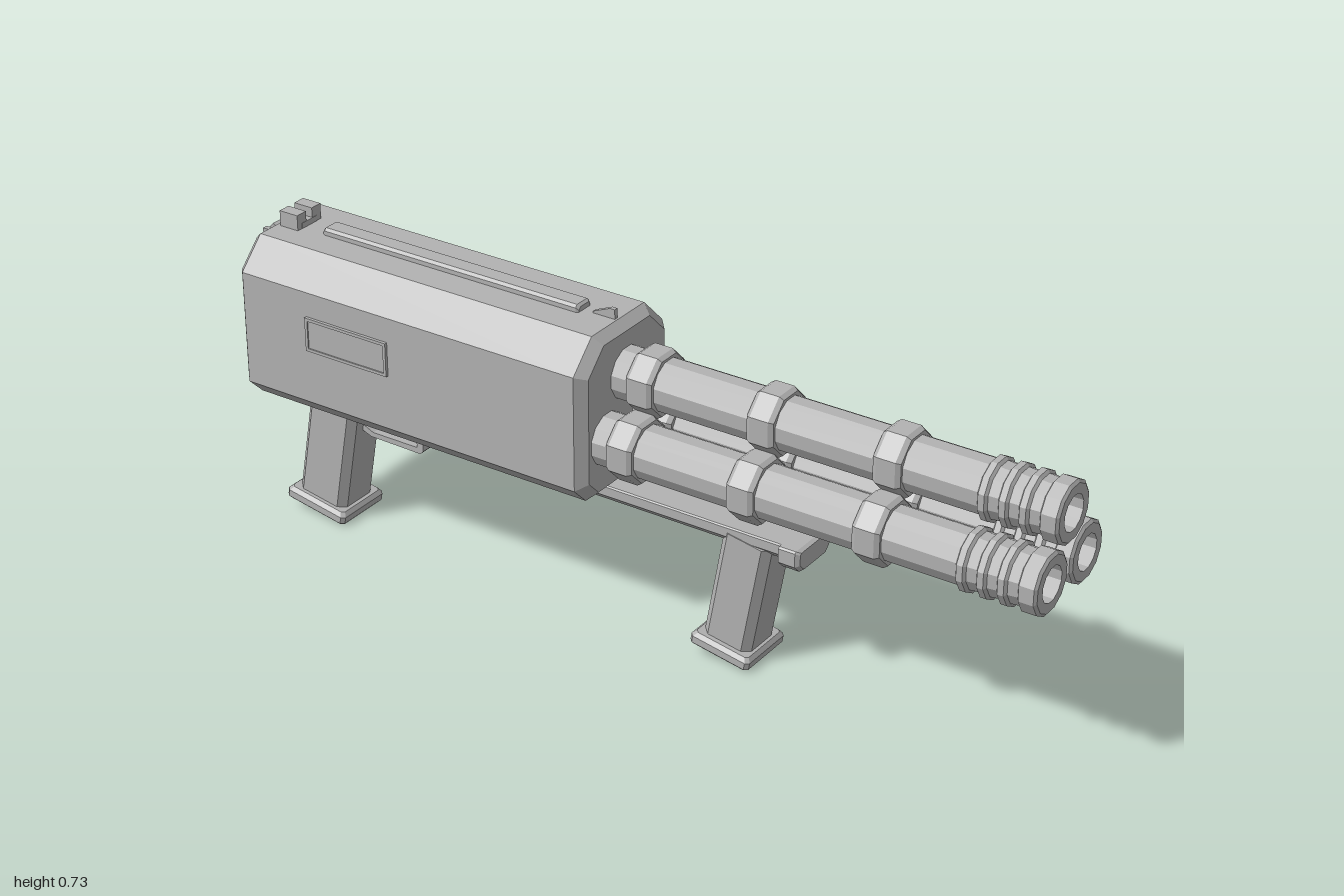
import * as THREE from 'three';

const steel = new THREE.MeshStandardMaterial({ color: 0xb2b2b2 });
steel.name = 'steel grey';

// faceted mesh
function part(name, geometry, parent) {
  const g = geometry.index ? geometry.toNonIndexed() : geometry;
  g.computeVertexNormals();
  const m = new THREE.Mesh(g, steel);
  m.name = name;
  parent.add(m);
  return m;
}

// chamfered rectangle at x, counter-clockwise seen from +x
function ring(x, hz, y0, y1, ct, cb = ct) {
  return [[-hz, y0 + cb], [-hz, y1 - ct], [-hz + ct, y1], [hz - ct, y1],
    [hz, y1 - ct], [hz, y0 + cb], [hz - cb, y0], [-hz + cb, y0]].map(([z, y]) => [x, y, z]);
}

// skin over rings ordered by rising x, with both ends capped
function loft(rings) {
  const n = rings[0].length, index = [];
  for (let k = 0; k < rings.length - 1; k++) {
    for (let i = 0; i < n; i++) {
      const j = (i + 1) % n, a = k * n + i, b = k * n + j;
      index.push(a, b, b + n, a, b + n, a + n);
    }
  }
  const e = (rings.length - 1) * n;
  for (let i = 1; i < n - 1; i++) index.push(0, i + 1, i, e, e + i, e + i + 1);
  const g = new THREE.BufferGeometry();
  g.setAttribute('position', new THREE.Float32BufferAttribute(rings.flat(2), 3));
  g.setIndex(index);
  return g;
}

// turned solid along x; profile points are [x, radius]
function turned(profile, sides) {
  return new THREE.LatheGeometry(profile.map(([x, r]) => new THREE.Vector2(r, x)), sides, Math.PI / sides)
    .rotateZ(-Math.PI / 2);
}

function box(name, x0, x1, y0, y1, z0, z1, parent) {
  return part(name, new THREE.BoxGeometry(x1 - x0, y1 - y0, z1 - z0)
    .translate((x0 + x1) / 2, (y0 + y1) / 2, (z0 + z1) / 2), parent);
}

// side outline in x, y extruded across z
function slab(name, points, halfWidth, parent) {
  const s = new THREE.Shape(points.map(([x, y]) => new THREE.Vector2(x, y)));
  return part(name, new THREE.ExtrudeGeometry(s, { depth: halfWidth * 2, bevelEnabled: false })
    .translate(0, 0, -halfWidth), parent);
}

function frame(name, x0, x1, y0, y1, w, z0, z1, parent) {
  const rect = (a, b, c, d) => [[a, c], [b, c], [b, d], [a, d]].map(p => new THREE.Vector2(...p));
  const s = new THREE.Shape(rect(x0, x1, y0, y1));
  s.holes.push(new THREE.Path(rect(x0 + w, x1 - w, y0 + w, y1 - w)));
  return part(name, new THREE.ExtrudeGeometry(s, { depth: z1 - z0, bevelEnabled: false })
    .translate(0, 0, z0), parent);
}

// leaning grip with a flared foot
function grip(name, x, width, length, halfZ, footWidth, parent) {
  const g = new THREE.Group();
  g.name = name;
  const h = width / 2, f = footWidth / 2;
  part('gripHandle', loft([0.015, length].map(t => ring(t, halfZ, -h, h, 0.017))).rotateZ(Math.PI / 2), g);
  part('gripFoot', loft([
    ring(0, 0.069, -f + 0.004, f - 0.004, 0.007),
    ring(0.006, 0.075, -f, f, 0.008),
    ring(0.022, 0.075, -f, f, 0.008),
    ring(0.031, 0.067, -f + 0.008, f - 0.008, 0.007),
  ]).rotateZ(Math.PI / 2), g);
  g.rotation.z = -0.175;
  g.position.set(x, f * Math.sin(0.175), 0);
  parent.add(g);
}

function barrel(y, z, parent) {
  const g = new THREE.Group();
  g.name = 'barrel';
  const tube = [[-0.08, 0], [-0.08, 0.06]];
  // muzzle rings
  for (const [a, b] of [[0.82, 0.844], [0.866, 0.89], [0.911, 0.935], [0.957, 1]]) {
    tube.push([a, 0.06], [a + 0.005, 0.069], [b - 0.005, 0.069], [b, 0.062]);
  }
  // bore
  tube.push([1, 0.04], [0.8, 0.04], [0.8, 0]);
  part('barrelTube', turned(tube, 12), g);
  for (const x of [0.03, 0.325, 0.62]) {
    part('barrelCollar', turned([[x - 0.032, 0.058], [x - 0.032, 0.069], [x - 0.022, 0.076],
      [x + 0.022, 0.076], [x + 0.032, 0.069], [x + 0.032, 0.058]], 8), g);
  }
  g.position.set(0, y, z);
  parent.add(g);
}

export function createModel() {
  const model = new THREE.Group();
  model.name = 'tripleBarrelGun';

  // housing with chamfered ends
  part('housing', loft([
    ring(-0.968, 0.138, 0.34, 0.675, 0.056, 0.034),
    ring(-0.945, 0.163, 0.32, 0.695, 0.067, 0.041),
    ring(-0.065, 0.163, 0.32, 0.695, 0.067, 0.041),
    ring(-0.043, 0.14, 0.34, 0.675, 0.056, 0.034),
  ]), model);
  part('rearPlate', loft([
    ring(-0.981, 0.12, 0.362, 0.655, 0.045, 0.03),
    ring(-0.975, 0.128, 0.355, 0.663, 0.048, 0.03),
    ring(-0.96, 0.128, 0.355, 0.663, 0.048, 0.03),
  ]), model);

  // rear latch
  slab('rearLatch', [[-1, 0.652], [-0.985, 0.635], [-0.96, 0.625], [-0.95, 0.68], [-0.968, 0.687]], 0.027, model);
  for (const s of [-1, 1]) {
    box('latchLug', -0.988, -0.955, 0.64, 0.675, s * 0.032 - 0.006, s * 0.032 + 0.006, model);
  }

  // top rail and sights
  part('topRail', loft([
    ring(-0.83, 0.02, 0.685, 0.706, 0.006),
    ring(-0.824, 0.024, 0.685, 0.711, 0.006),
    ring(-0.156, 0.024, 0.685, 0.711, 0.006),
    ring(-0.15, 0.02, 0.685, 0.706, 0.006),
  ]), model);
  slab('frontSight', [[-0.125, 0.69], [-0.07, 0.69], [-0.07, 0.717], [-0.082, 0.717], [-0.125, 0.699]], 0.005, model);
  box('rearSightBase', -0.94, -0.885, 0.69, 0.708, -0.025, 0.025, model);
  for (const s of [-1, 1]) {
    box('rearSightPost', -0.935, -0.886, 0.69, 0.731, s * 0.025 - 0.015, s * 0.025 + 0.015, model);
  }

  // side panels
  frame('leftPanelFrame', -0.77, -0.55, 0.49, 0.57, 0.007, 0.16, 0.17, model);
  box('leftPanel', -0.763, -0.557, 0.497, 0.563, 0.16, 0.167, model);
  frame('rightPanelFrame', -0.83, -0.55, 0.36, 0.51, 0.02, -0.171, -0.16, model);
  frame('rightPanelInnerFrame', -0.795, -0.585, 0.395, 0.475, 0.012, -0.17, -0.16, model);
  box('rightPanel', -0.81, -0.57, 0.38, 0.49, -0.165, -0.16, model);

  // barrel cluster
  barrel(0.579, 0, model);
  barrel(0.455, 0.073, model);
  barrel(0.455, -0.073, model);

  // lower rail with end block
  part('lowerRail', loft([
    ring(-0.127, 0.03, 0.29, 0.325, 0.003, 0.012),
    ring(-0.1, 0.054, 0.283, 0.325, 0.003, 0.018),
    ring(0.38, 0.054, 0.283, 0.325, 0.003, 0.018),
  ]), model);
  part('railEndBlock', loft([
    ring(0.375, 0.065, 0.272, 0.326, 0.004, 0.018),
    ring(0.415, 0.065, 0.272, 0.326, 0.004, 0.018),
    ring(0.424, 0.058, 0.278, 0.322, 0.004, 0.016),
  ]), model);

  // grips
  grip('rearGrip', -0.855, 0.132, 0.34, 0.058, 0.165, model);
  grip('frontGrip', 0.236, 0.118, 0.295, 0.056, 0.148, model);

  // trigger and its guard
  slab('triggerGuard', [[-0.77, 0.245], [-0.755, 0.233], [-0.725, 0.222], [-0.588, 0.22], [-0.58, 0.228], [-0.58, 0.33],
    [-0.597, 0.33], [-0.597, 0.234], [-0.72, 0.234], [-0.755, 0.25]], 0.016, model);
  slab('trigger', [[-0.71, 0.33], [-0.704, 0.285], [-0.69, 0.258], [-0.672, 0.252], [-0.682, 0.268],
    [-0.688, 0.29], [-0.68, 0.33]], 0.009, model);

  return model;
}
